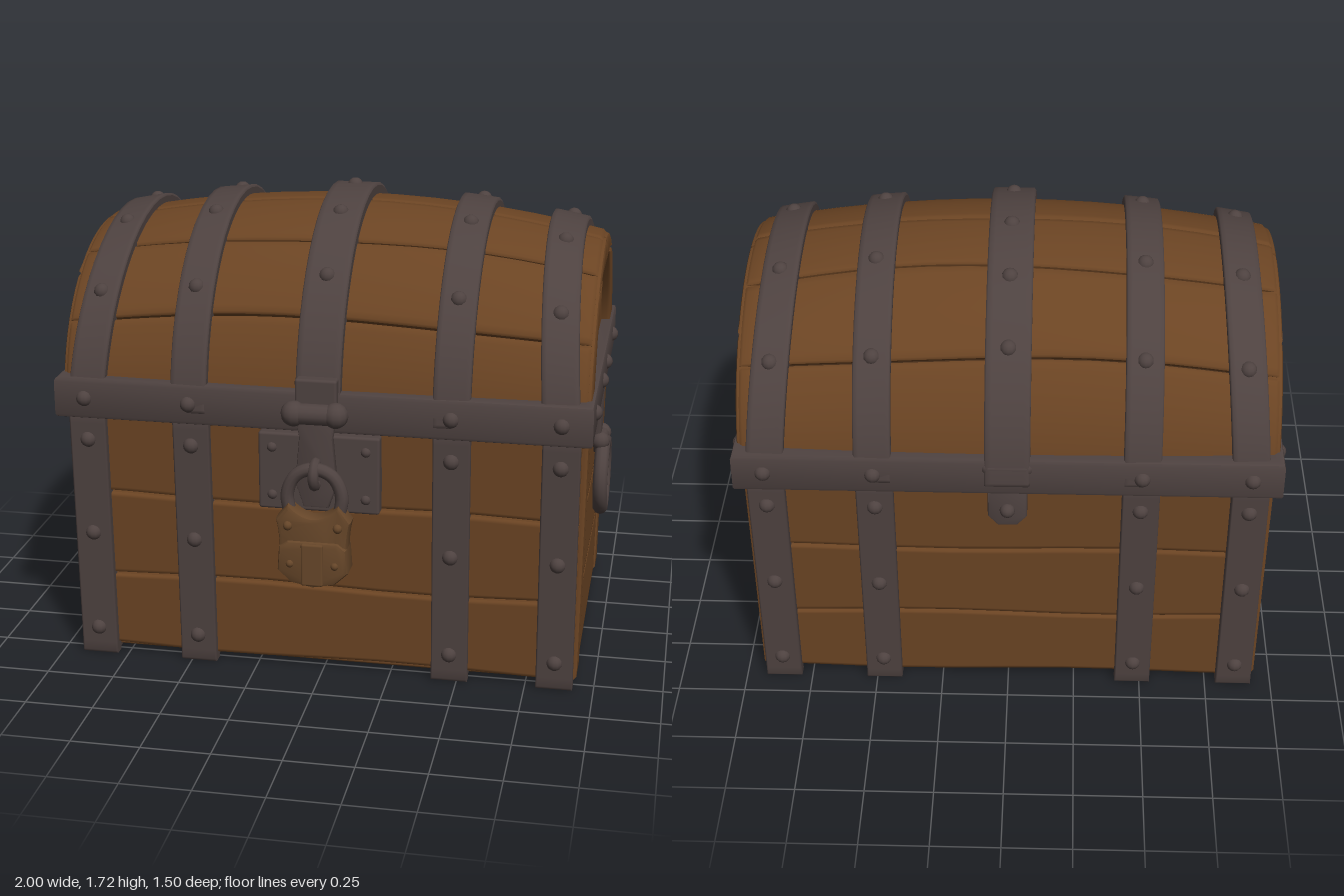
import * as THREE from 'three';
import { toCreasedNormals } from 'three/addons/utils/BufferGeometryUtils.js';
import { RoundedBoxGeometry } from 'three/addons/geometries/RoundedBoxGeometry.js';

const mat = (name, color) => Object.assign(new THREE.MeshStandardMaterial({ color }), { name });
const deg = Math.PI / 180;

export function createModel() {
  const wood = mat('wood', 0x6b4423);
  const seamWood = mat('seam wood', 0x3c2614);
  const iron = mat('iron', 0x4e4240);
  const bronze = mat('bronze', 0x664629);

  const model = new THREE.Group();
  model.name = 'treasureChest';
  const chest = new THREE.Group();
  chest.name = 'chest';
  chest.position.z = -0.055;
  model.add(chest);

  const add = (parent, name, geo, material, x = 0, y = 0, z = 0) => {
    const m = new THREE.Mesh(geo, material);
    m.name = name;
    m.position.set(x, y, z);
    parent.add(m);
    return m;
  };
  const box = (parent, name, material, w, h, d, x, y, z, r = 0.01) =>
    add(parent, name, new RoundedBoxGeometry(w, h, d, 2, r), material, x, y, z);
  const rivet = (parent, x, y, z, r = 0.03) =>
    add(parent, 'rivet', new THREE.SphereGeometry(r, 12, 8), iron, x, y, z);
  const extrude = (shape, depth, bevel = 0.008) => toCreasedNormals(new THREE.ExtrudeGeometry(shape, {
    depth: depth - 2 * bevel, bevelEnabled: bevel > 0, bevelSize: bevel, bevelThickness: bevel,
    bevelOffset: -bevel, bevelSegments: 2, curveSegments: 14,
  }).translate(0, 0, bevel), 0.6);
  const polygon = (pts) => new THREE.Shape(pts.map(([x, y]) => new THREE.Vector2(x, y)));

  // A worn-edged slab bent onto a surface: place(s, t, offset) with s, t in 0..1
  const slab = (parent, name, material, o0, o1, place, n = 14, m = 14) => {
    const geo = new THREE.BoxGeometry(1, 1, 1, n, 1, m);
    const p = geo.attributes.position;
    for (let i = 0; i < p.count; i++) {
      const u = 0.5 * Math.sin(Math.PI * p.getX(i)), w = 0.5 * Math.sin(Math.PI * p.getZ(i));
      const edge = Math.max(Math.abs(u), Math.abs(w)) > 0.4995;
      const o = p.getY(i) > 0 ? o1 - (edge ? 0.01 : 0) : o0;
      p.setXYZ(i, ...place(0.5 + u, 0.5 - w, o));
    }
    geo.computeVertexNormals();
    return add(parent, name, geo, material);
  };
  const lerp = THREE.MathUtils.lerp;

  // ---- Body: slightly flared walls ----
  const halfDepth = (y) => 0.585 + 0.04 * y;
  const halfWidth = (y) => 0.93 + 0.01 * y;
  const seam = (y, x) => y + 0.007 * Math.sin(5 * x + 9 * y);
  const wallPiece = (parent, name, material, x0, x1, y0, y1, o0, o1, dist, wavy = true) =>
    slab(parent, name, material, o0, o1, (s, t, o) => {
      const x = lerp(x0, x1, s);
      const y = wavy ? lerp(seam(y0, x) + 0.004, seam(y1, x) - 0.004, t) : lerp(y0, y1, t);
      return [x, y, dist(y) + o];
    });

  box(chest, 'bodyCore', seamWood, 1.83, 0.99, 1.14, 0, 0.535, 0);
  const rows = [0.03, 0.33, 0.65, 0.99];
  const straps = [-0.857, -0.472, 0.472, 0.857];

  for (const [name, turn] of [['front', 0], ['back', Math.PI]]) {
    const wall = new THREE.Group();
    wall.name = name + 'Wall';
    wall.rotation.y = turn;
    chest.add(wall);
    for (let i = 0; i < 3; i++)
      wallPiece(wall, 'plank', wood, -0.925, 0.925, rows[i], rows[i + 1], -0.06, 0, halfDepth);
    for (const x of straps) {
      wallPiece(wall, 'wallStrap', iron, x - 0.067, x + 0.067, 0, 0.98, -0.02, 0.032, halfDepth, false);
      for (const y of [0.11, 0.5, 0.87]) rivet(wall, x, y, halfDepth(y) + 0.025);
      rivet(wall, x, 1.035, 0.672);
    }
  }

  for (const side of [1, -1]) {
    const wall = new THREE.Group();
    wall.name = side > 0 ? 'leftWall' : 'rightWall';
    wall.rotation.y = side * Math.PI / 2;
    chest.add(wall);
    for (let i = 0; i < 3; i++)
      wallPiece(wall, 'plank', wood, -0.447, 0.447, rows[i], rows[i + 1], -0.06, 0, halfWidth);
    for (const s of [-1, 1])
      wallPiece(wall, 'cornerPost', wood, s * 0.515 - 0.062, s * 0.515 + 0.062, 0.03, 0.99, -0.06, 0.006, halfWidth, false);
    for (const x of [-0.5, -0.12, 0.12, 0.5]) rivet(wall, x, 1.035, 0.957);

    // Ring handle hanging from a tapered tab
    const handle = new THREE.Group();
    handle.name = 'handle';
    handle.position.x = -0.035 * side;
    wall.add(handle);
    add(handle, 'handleTab', extrude(polygon([[-0.055, 0.76], [0, 0.72], [0.055, 0.76], [0.085, 0.97], [-0.085, 0.97]]), 0.04), iron, 0, 0, 0.925);
    const pin = add(handle, 'handlePin', new THREE.CapsuleGeometry(0.029, 0.09, 4, 10), iron, 0, 0.785, 0.962);
    pin.rotation.z = Math.PI / 2;
    for (const s of [-1, 1]) rivet(handle, s * 0.05, 0.785, 0.962, 0.036);
    const ring = add(handle, 'handleRing', new THREE.TorusGeometry(0.128, 0.028, 10, 32), iron, 0, 0.638, 0.972);
    ring.scale.x = 1.03;
  }

  // Floor boards and the straps running under them
  for (let i = 0; i < 4; i++)
    box(chest, 'floorBoard', wood, 1.83, 0.04, 0.278, 0, 0.04, -0.4275 + i * 0.285);
  for (const x of straps) box(chest, 'floorStrap', iron, 0.134, 0.04, 1.22, x, 0.02, 0, 0.015);

  // ---- Belt around the rim ----
  const rect = (x, z) => [[-x, -z], [x, -z], [x, z], [-x, z]];
  const beltShape = polygon(rect(0.966, 0.68));
  beltShape.holes.push(new THREE.Path(polygon(rect(0.88, 0.56)).getPoints()));
  add(chest, 'rimBelt', extrude(beltShape, 0.15, 0.014).rotateX(-Math.PI / 2), iron, 0, 0.958, 0);

  // ---- Lid: a barrel vault that swells in the middle ----
  const lidPoint = (x, a, o) => {
    const k = (x / 0.95) ** 2;
    return [x, 1 + (0.665 - 0.11 * k + o) * Math.sin(a), (0.65 - 0.02 * k + o) * Math.cos(a)];
  };
  const lid = new THREE.Group();
  lid.name = 'lid';
  chest.add(lid);
  const lidSeams = [2, 31, 60, 86, 110, 141, 178].map((d) => d * deg);
  const lidSeam = (a, x) => a + 0.012 * Math.sin(4 * x + 5 * a);
  for (let i = 0; i < 6; i++)
    slab(lid, 'lidPlank', wood, -0.06, 0, (s, t, o) => {
      const x = lerp(-0.94, 0.94, s);
      return lidPoint(x, lerp(lidSeam(lidSeams[i], x) + 0.006, lidSeam(lidSeams[i + 1], x) - 0.006, t), o);
    }, 20, 10);

  for (const x of [...straps, 0]) {
    const end = Math.abs(x) > 0.8 ? Math.sign(x) : 0;
    const half = x === 0 ? 0.08 : 0.066;
    const lean = (a) => -0.045 * end * Math.sin(a);
    const top = x === 0 ? 0.042 : 0.035;
    slab(lid, 'lidStrap', iron, -0.02, top, (s, t, o) => {
      const a = t * Math.PI;
      return lidPoint(x + lean(a) + lerp(-half, half, s), a, o);
    }, 8, 36);
    for (const d of x === 0 ? [44, 70, 95, 116, 138] : [40, 72, 108, 140])
      rivet(lid, ...lidPoint(x + lean(d * deg), d * deg, top - 0.012));
  }

  // Inner vault, end panels and the framed arch on each end
  const vault = (a, b) => {
    const pts = [];
    for (let i = 0; i <= 28; i++) pts.push([a * Math.cos(i * Math.PI / 28), 1 + b * Math.sin(i * Math.PI / 28)]);
    return polygon(pts);
  };
  add(lid, 'lidCore', extrude(vault(0.59, 0.505), 1.8, 0).rotateY(Math.PI / 2), seamWood, -0.9, 0, 0);
  const arc = (d0, d1) => Array.from({ length: 9 }, (_, i) => {
    const a = lerp(d0, d1, i / 8) * deg;
    return [0.618 * Math.cos(a), 1 + 0.548 * Math.sin(a)];
  });
  const frameParts = [
    [...arc(2, 49), [0.215, 1.445], [0.39, 1.26], [0.455, 1.09], [0.46, 1.02]],
    [...arc(50.5, 89.5), [0.004, 1.45], [0.205, 1.45]],
  ];
  for (const side of [1, -1]) {
    const end = new THREE.Group();
    end.name = side > 0 ? 'lidLeftEnd' : 'lidRightEnd';
    end.rotation.y = side * Math.PI / 2;
    lid.add(end);
    add(end, 'endPanel', extrude(vault(0.57, 0.49), 0.04, 0), wood, 0, 0, 0.88);
    for (const part of frameParts) {
      const mirrored = part.map(([x, y]) => [-x, y]).reverse();
      for (const pts of [part, mirrored])
        add(end, 'archFrame', extrude(polygon(pts), 0.08, 0.012), wood, 0, 0, 0.873);
    }
  }

  // ---- Rear hinge ----
  const rearHinge = new THREE.Group();
  rearHinge.name = 'rearHinge';
  rearHinge.rotation.y = Math.PI;
  chest.add(rearHinge);
  add(rearHinge, 'hingeTab', extrude(polygon([[-0.07, 0.97], [-0.07, 0.84], [-0.035, 0.8], [0.035, 0.8], [0.07, 0.84], [0.07, 0.97]]), 0.05), iron, 0, 0, 0.605);
  rivet(rearHinge, 0, 0.87, 0.655, 0.028);
  add(rearHinge, 'hingePin', new THREE.CapsuleGeometry(0.034, 0.13, 4, 10).rotateZ(Math.PI / 2), iron, 0, 1.07, 0.656);

  // ---- Hasp and lock plate ----
  const hasp = new THREE.Group();
  hasp.name = 'hasp';
  chest.add(hasp);
  box(hasp, 'lockPlate', iron, 0.44, 0.29, 0.06, 0, 0.8, 0.635);
  for (const x of [-0.17, 0.17]) for (const y of [0.71, 0.89]) rivet(hasp, x, y, 0.657, 0.02);
  add(hasp, 'haspPlate', extrude(polygon([[-0.075, 1.04], [-0.06, 0.95], [-0.075, 0.78], [-0.045, 0.69], [0.045, 0.69], [0.075, 0.78], [0.06, 0.95], [0.075, 1.04]]), 0.035), iron, 0, 0, 0.683);
  box(hasp, 'hingeLeaf', iron, 0.15, 0.13, 0.05, 0, 1.1, 0.69);
  add(hasp, 'haspHinge', new THREE.CapsuleGeometry(0.038, 0.12, 4, 12).rotateZ(Math.PI / 2), iron, 0, 1.045, 0.732);
  for (const x of [-0.075, 0.075]) rivet(hasp, x, 1.045, 0.732, 0.046);
  add(hasp, 'staple', new THREE.TorusGeometry(0.042, 0.02, 8, 18).rotateY(Math.PI / 2), iron, 0, 0.82, 0.722);

  // ---- Padlock ----
  const padlock = new THREE.Group();
  padlock.name = 'padlock';
  chest.add(padlock);
  const v = (x, y) => new THREE.Vector3(x, y, 0.74);
  add(padlock, 'shackle', new THREE.TubeGeometry(new THREE.CatmullRomCurve3(
    [v(-0.085, 0.66), v(-0.098, 0.75), v(-0.065, 0.82), v(0, 0.845), v(0.065, 0.82), v(0.098, 0.75), v(0.085, 0.66)]), 28, 0.024, 10), iron);
  const shield = new THREE.Shape();
  shield.moveTo(0, 0.415);
  shield.quadraticCurveTo(0.08, 0.415, 0.125, 0.47);
  shield.quadraticCurveTo(0.115, 0.58, 0.135, 0.66);
  shield.lineTo(0.09, 0.72);
  shield.quadraticCurveTo(0, 0.62, -0.09, 0.72);
  shield.lineTo(-0.135, 0.66);
  shield.quadraticCurveTo(-0.115, 0.58, -0.125, 0.47);
  shield.quadraticCurveTo(-0.08, 0.415, 0, 0.415);
  add(padlock, 'lockBody', extrude(shield, 0.08, 0.014), bronze, 0, 0, 0.7);
  const base = polygon([[0, 0.408], [0.08, 0.425], [0.128, 0.47], [0.122, 0.56], [0.09, 0.585], [-0.09, 0.585], [-0.122, 0.56], [-0.128, 0.47], [-0.08, 0.425]]);
  add(padlock, 'lockBase', extrude(base, 0.115, 0.016), bronze, 0, 0, 0.678);
  box(padlock, 'keyholeCover', bronze, 0.08, 0.16, 0.03, 0, 0.5, 0.785, 0.008);
  for (const x of [-0.09, 0.09]) {
    add(padlock, 'lockStud', new THREE.SphereGeometry(0.018, 10, 6), bronze, x, 0.64, 0.777);
    add(padlock, 'lockStud', new THREE.SphereGeometry(0.016, 10, 6), bronze, x * 0.9, 0.5, 0.787);
  }
  return model;
}
